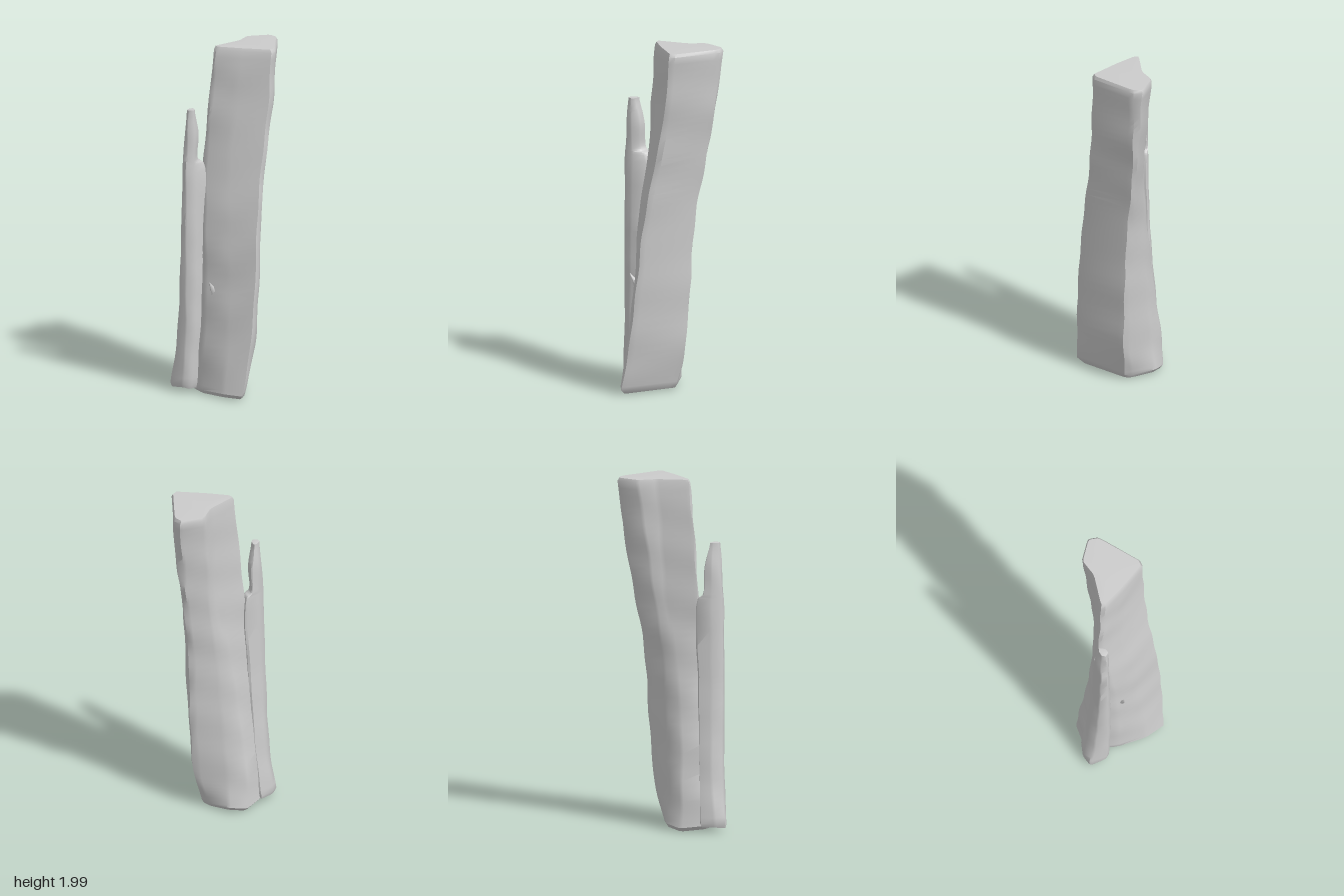
import * as THREE from 'three';
import { toCreasedNormals } from 'three/addons/utils/BufferGeometryUtils.js';

const wood = new THREE.MeshStandardMaterial({ color: 0xcccccc });

// Cut each corner of a closed section so long edges read as slightly worn
function wornCorners(ring, cut) {
  const out = [];
  ring.forEach((p, i) => {
    const prev = ring[(i + ring.length - 1) % ring.length];
    const next = ring[(i + 1) % ring.length];
    out.push(p.clone().lerp(prev, cut), p.clone().lerp(next, cut));
  });
  return out;
}

// Shrink a section towards its middle and move it up or down
function inset(ring, scale, dy) {
  const c = ring.reduce((s, p) => s.add(p), new THREE.Vector3()).divideScalar(ring.length);
  return ring.map(p => p.clone().sub(c).multiplyScalar(scale).add(c).add(new THREE.Vector3(0, dy, 0)));
}

// Skin closed sections; each row is [y, x0, z0, x1, z1, ...], counterclockwise from above
function loft(rows, steps, cut, wobble) {
  const columns = [];
  for (let k = 1; k < rows[0].length; k += 2) {
    columns.push(new THREE.CatmullRomCurve3(rows.map(r => new THREE.Vector3(r[k], r[0], r[k + 1]))));
  }
  const rings = [];
  for (let i = 0; i <= steps; i++) {
    const ring = columns.map((c, j) => {
      const p = c.getPoint(i / steps);
      p.x += wobble * Math.sin(p.y * 19 + j * 2.1);
      p.z += wobble * Math.sin(p.y * 23 + j * 1.3);
      if (i === 0) p.y += wobble * 3 * Math.sin(j * 2.7); // ragged foot
      return p;
    });
    rings.push(wornCorners(ring, cut));
  }
  rings.unshift(inset(rings[0], 0.9, -0.022));
  rings.push(inset(rings[rings.length - 1], 0.95, 0.018));

  const n = rings[0].length;
  const pos = rings.flat().flatMap(p => p.toArray());
  const idx = [];
  for (let r = 0; r < rings.length - 1; r++) {
    for (let j = 0; j < n; j++) {
      const a = r * n + j, b = r * n + (j + 1) % n;
      idx.push(a, b, b + n, a, b + n, a + n);
    }
  }
  // End grain caps
  const bottom = pos.length / 3;
  pos.push(...inset(rings[0], 0, 0)[0].toArray(), ...inset(rings[rings.length - 1], 0, 0.003)[0].toArray());
  const last = (rings.length - 1) * n;
  for (let j = 0; j < n; j++) {
    const k = (j + 1) % n;
    idx.push(bottom, k, j, bottom + 1, last + j, last + k);
  }
  const g = new THREE.BufferGeometry();
  g.setAttribute('position', new THREE.Float32BufferAttribute(pos, 3));
  g.setIndex(idx);
  return toCreasedNormals(g, 0.7);
}

function addPart(group, name, geometry) {
  const mesh = new THREE.Mesh(geometry, wood);
  mesh.name = name;
  group.add(mesh);
  return mesh;
}

export function createModel() {
  const model = new THREE.Group();
  model.name = 'splitLog';

  // Columns: front ridge, right corner, back right, back ridge, back groove, left edge, valley, front left face
  const trunk = [
    [0.03, -0.03, 0.25, 0.10, -0.07, 0.08, -0.10, 0.00, -0.22, -0.10, -0.245, -0.23, -0.18, -0.20, 0.00, -0.12, 0.16],
    [0.20, 0.01, 0.245, 0.15, -0.075, 0.13, -0.10, 0.00, -0.20, -0.10, -0.235, -0.22, -0.17, -0.19, 0.00, -0.10, 0.14],
    [0.60, 0.06, 0.225, 0.185, -0.09, 0.165, -0.11, 0.02, -0.175, -0.07, -0.19, -0.20, -0.14, -0.165, -0.01, -0.07, 0.10],
    [1.00, 0.09, 0.19, 0.205, -0.11, 0.18, -0.13, 0.05, -0.165, -0.02, -0.165, -0.17, -0.12, -0.16, -0.04, -0.06, 0.06],
    [1.34, 0.135, 0.145, 0.25, -0.15, 0.23, -0.17, 0.10, -0.18, 0.05, -0.155, -0.14, -0.12, -0.135, -0.09, -0.04, 0.01],
    [1.65, 0.185, 0.115, 0.30, -0.17, 0.275, -0.205, 0.13, -0.215, 0.07, -0.16, -0.115, -0.11, -0.11, -0.085, 0.00, 0.00],
    [1.975, 0.21, 0.10, 0.325, -0.18, 0.31, -0.235, 0.17, -0.25, 0.09, -0.175, -0.08, -0.11, -0.075, -0.08, 0.03, 0.00],
  ];
  addPart(model, 'mainWedge', loft(trunk, 48, 0.1, 0.003));

  // Columns: inner back, outer back, left side, front left, front, inner front
  const splinter = [
    [0.05, -0.20, -0.205, -0.29, -0.18, -0.335, -0.13, -0.29, -0.045, -0.25, -0.035, -0.15, -0.05],
    [0.30, -0.18, -0.18, -0.26, -0.165, -0.305, -0.11, -0.275, -0.04, -0.23, -0.03, -0.14, -0.05],
    [0.80, -0.16, -0.15, -0.24, -0.13, -0.29, -0.09, -0.275, -0.04, -0.22, -0.03, -0.14, -0.06],
    [1.32, -0.15, -0.135, -0.23, -0.12, -0.28, -0.08, -0.27, -0.04, -0.22, -0.04, -0.145, -0.08],
    [1.35, -0.182, -0.13, -0.23, -0.12, -0.278, -0.08, -0.268, -0.04, -0.22, -0.04, -0.182, -0.08],
    [1.50, -0.185, -0.12, -0.23, -0.115, -0.268, -0.08, -0.262, -0.045, -0.22, -0.04, -0.185, -0.07],
    [1.625, -0.208, -0.10, -0.23, -0.10, -0.254, -0.08, -0.254, -0.05, -0.23, -0.04, -0.208, -0.06],
  ];
  addPart(model, 'sideSplinter', loft(splinter, 42, 0.12, 0.002));

  // Small raised chip beside the split
  const chip = addPart(model, 'woodChip', new THREE.ConeGeometry(0.025, 0.09, 5));
  chip.position.set(-0.14, 0.62, 0.025);
  chip.rotation.set(0.2, 0.3, 0.5);

  return model;
}
